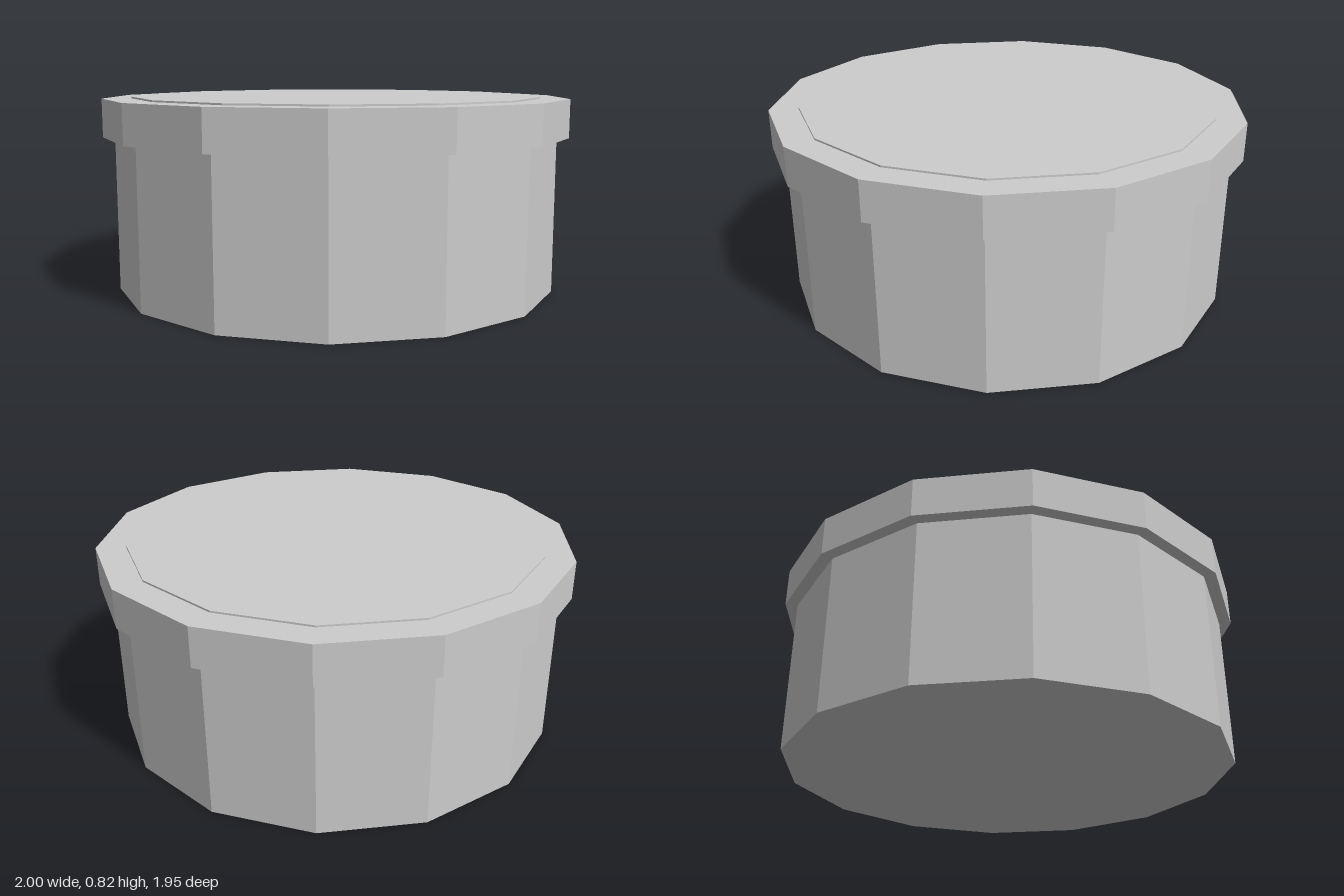
import * as THREE from 'three';

const SIDES = 14;

export function createModel() {
  const model = new THREE.Group();
  const grey = new THREE.MeshStandardMaterial({ color: 0xcccccc, flatShading: true });
  grey.name = 'light grey';

  // Faceted disc between two heights, with a corner on the x axis
  function disc(name, radius, bottom, top) {
    const geometry = new THREE.CylinderGeometry(radius, radius, top - bottom, SIDES, 1, false, Math.PI / 2);
    const mesh = new THREE.Mesh(geometry, grey);
    mesh.name = name;
    mesh.position.y = (bottom + top) / 2;
    model.add(mesh);
  }

  disc('body', 0.95, 0, 0.66);
  disc('lidRim', 1, 0.656, 0.818);
  disc('lidPanel', 0.877, 0.81, 0.825);

  return model;
}
